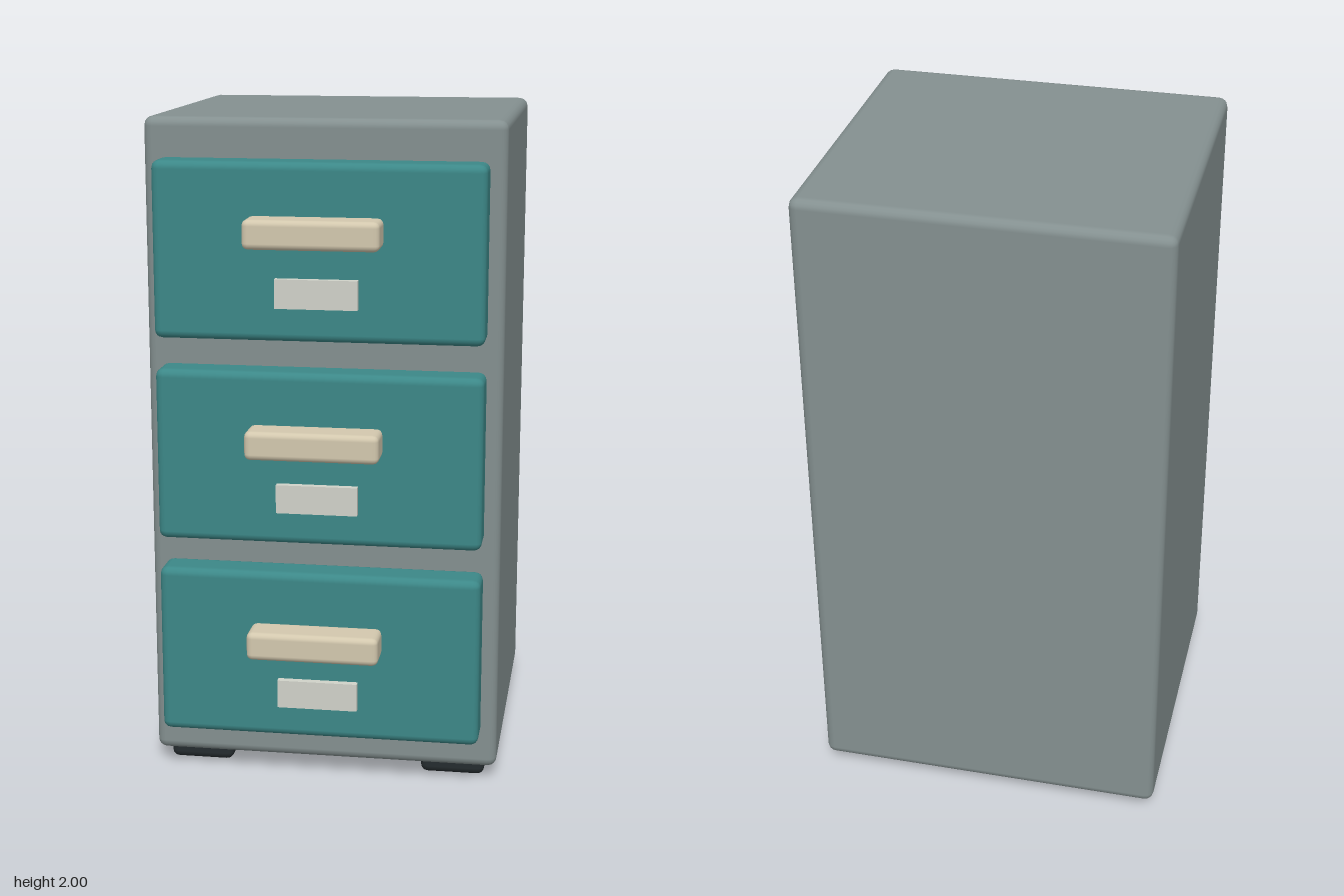
import * as THREE from 'three';
import { RoundedBoxGeometry } from 'three/addons/geometries/RoundedBoxGeometry.js';

const paint = (color) => new THREE.MeshStandardMaterial({ color });

// Box given by its [min, max] extents; radius 0 keeps sharp edges
function block(name, [x0, x1], [y0, y1], [z0, z1], radius, material) {
  const w = x1 - x0, h = y1 - y0, d = z1 - z0;
  const geometry = radius > 0
    ? new RoundedBoxGeometry(w, h, d, 2, radius)
    : new THREE.BoxGeometry(w, h, d);
  const mesh = new THREE.Mesh(geometry, material);
  mesh.name = name;
  mesh.position.set((x0 + x1) / 2, (y0 + y1) / 2, (z0 + z1) / 2);
  return mesh;
}

export function createModel() {
  const model = new THREE.Group();
  model.name = 'filingCabinet';
  const bodyPaint = paint(0x849090);
  const drawerPaint = paint(0x3c8888);
  const handlePaint = paint(0xd3c8ae);
  const labelPaint = paint(0xd0d2c9);
  const footPaint = paint(0x252c2f);

  // Cabinet body
  model.add(block('cabinetBody', [-0.53, 0.53], [0.04, 2], [-0.605, 0.37], 0.028, bodyPaint));

  // Runner feet along both sides
  for (const [name, x] of [['leftFoot', 0.393], ['rightFoot', -0.393]]) {
    model.add(block(name, [x - 0.098, x + 0.098], [0, 0.08], [-0.475, 0.34], 0.022, footPaint));
  }

  // Three equal drawers, each with a pull handle and a label plate
  for (let i = 0; i < 3; i++) {
    const drawer = new THREE.Group();
    drawer.name = `drawer${i + 1}`;
    drawer.position.y = 0.413 + i * 0.607;
    drawer.add(
      block('drawerFront', [-0.482, 0.482], [-0.258, 0.258], [0.365, 0.485], 0.024, drawerPaint),
      block('handle', [-0.195, 0.195], [0.024, 0.109], [0.498, 0.608], 0.018, handlePaint),
      block('labelPlate', [-0.12, 0.12], [-0.157, -0.072], [0.475, 0.507], 0, labelPaint),
    );
    model.add(drawer);
  }
  return model;
}
